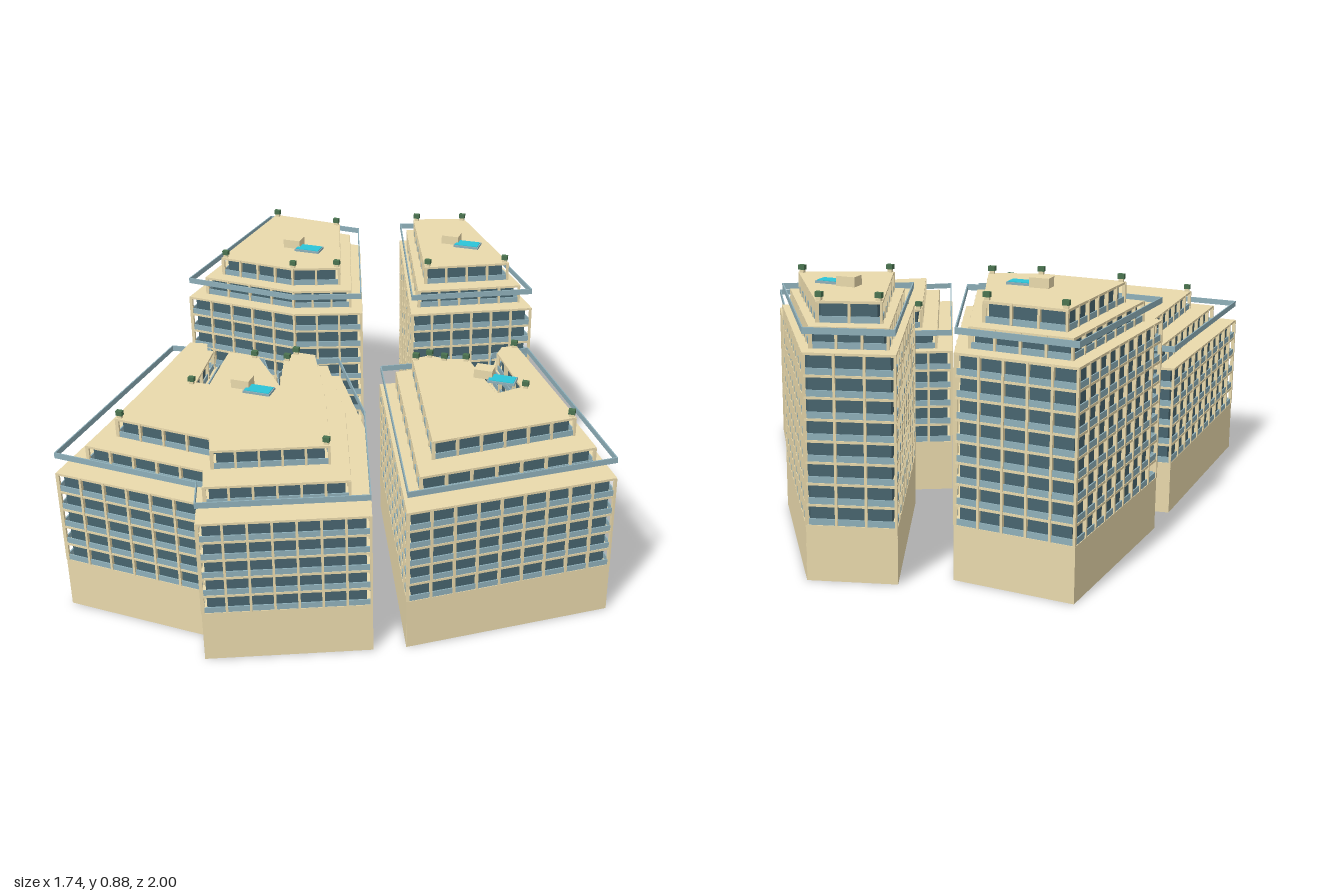
import * as THREE from 'three';
import { mergeGeometries } from 'three/addons/utils/BufferGeometryUtils.js';

const mat = (color) => new THREE.MeshStandardMaterial({ color });
const STONE = mat(0xe9d9ac), GLASS = mat(0x48656f), RAIL = mat(0x8fb0ba);
const GREEN = mat(0x4a7350), WATER = mat(0x2cc4d8);
const BASE = 0.18, H = 0.0672;

// Upright prism over a plan outline of [x, z] corners
function prism(points, y, height) {
  const shape = new THREE.Shape(points.map(([x, z]) => new THREE.Vector2(x, -z)));
  return new THREE.ExtrudeGeometry(shape, { depth: height, bevelEnabled: false })
    .rotateX(-Math.PI / 2).translate(0, y, 0);
}

// Move every side of an outline inwards, limiting long mitres
function inset(points, d) {
  const v = points.map(([x, z]) => new THREE.Vector2(x, z));
  const sign = THREE.ShapeUtils.area(v) > 0 ? 1 : -1;
  const normal = (a, b) => new THREE.Vector2(a.y - b.y, b.x - a.x).normalize().multiplyScalar(sign);
  return v.map((p, i) => {
    const n1 = normal(v[(i + v.length - 1) % v.length], p), n2 = normal(p, v[(i + 1) % v.length]);
    const m = n1.clone().add(n2).normalize();
    const q = p.clone().addScaledVector(m, d / Math.max(0.5, m.dot(n1)));
    return [q.x, q.y];
  });
}

// Outline halfway between two outlines with matching corners
const halfway = (a, b) => a.map(([x, z], i) => [(x + b[i][0]) / 2, (z + b[i][1]) / 2]);

// Bars following every side of an outline
function edgeBars(points, y, height, width) {
  return points.map(([x, z], i) => {
    const [u, w] = points[(i + 1) % points.length];
    return new THREE.BoxGeometry(Math.hypot(u - x, w - z) + width, height, width)
      .rotateY(-Math.atan2(w - z, u - x)).translate((x + u) / 2, y + height / 2, (z + w) / 2);
  });
}

// Upright fins spaced evenly along every side
function fins(points, y, height) {
  return points.flatMap(([x, z], i) => {
    const [u, w] = points[(i + 1) % points.length];
    const n = Math.max(1, Math.round(Math.hypot(u - x, w - z) / 0.08));
    return Array.from({ length: n }, (_, k) => new THREE.BoxGeometry(0.008, height, 0.012)
      .rotateY(-Math.atan2(w - z, u - x))
      .translate(x + (u - x) * k / n, y + height / 2, z + (w - z) * k / n));
  });
}

function add(group, name, geometries, material) {
  const mesh = new THREE.Mesh(mergeGeometries(geometries), material);
  mesh.name = name;
  group.add(mesh);
}

// A run of storeys: recessed glass, floor slabs, balcony rails and fins
function storeys(group, name, outline, y, count) {
  const slabs = [], rails = [];
  const edge = inset(outline, 0.004);
  for (let i = 0; i < count; i++) {
    slabs.push(prism(outline, y + (i + 1) * H - 0.008, 0.008));
    rails.push(...edgeBars(edge, y + i * H, 0.02, 0.004));
  }
  add(group, name + 'Glass', [prism(inset(outline, 0.018), y, count * H - 0.004)], GLASS);
  add(group, name + 'Slabs', slabs, STONE);
  add(group, name + 'Rails', rails, RAIL);
  add(group, name + 'Fins', fins(edge, y, count * H - 0.002), STONE);
}

// One block: full floors over a podium, then two setbacks ending at the top outline
function building(name, floors, full, top, [px, pz], plants = top.map((_, i) => i)) {
  const group = new THREE.Group();
  group.name = name;
  const y1 = BASE + floors * H, y2 = y1 + H, roof = y2 + H;

  // Hollow podium, open underneath
  add(group, 'podiumWalls', edgeBars(inset(full, 0.001), 0, BASE, 0.002), STONE);
  add(group, 'podiumDeck', [prism(full, BASE - 0.004, 0.004)], STONE);
  storeys(group, 'mainFloors', full, BASE, floors);
  storeys(group, 'firstSetback', halfway(full, top), y1, 1);
  storeys(group, 'secondSetback', top, y2, 1);

  // Thin frame level with the first setback roof
  add(group, 'roofFrame', edgeBars(inset(full, 0.004), y2 - 0.012, 0.02, 0.004), RAIL);

  // Planters with clipped shrubs at the roof corners
  const inner = inset(top, 0.012);
  const blocksAt = (w, h, d, y) => plants.map((i) =>
    new THREE.BoxGeometry(w, h, d).translate(inner[i][0], y + h / 2, inner[i][1]));
  add(group, 'planters', blocksAt(0.016, 0.01, 0.012, roof), STONE);
  add(group, 'shrubs', blocksAt(0.022, 0.016, 0.016, roof + 0.01), GREEN);

  // Roof house and pool
  const box = (w, h, d, x, z) => [new THREE.BoxGeometry(w, h, d).translate(x, roof + h / 2, z)];
  add(group, 'roofHouse', box(0.065, 0.032, 0.05, px - 0.068, pz - 0.02), STONE);
  add(group, 'poolRim', box(0.096, 0.008, 0.056, px, pz), RAIL);
  add(group, 'poolWater', box(0.088, 0.01, 0.048, px, pz), WATER);
  return group;
}

export function createModel() {
  const model = new THREE.Group();
  model.name = 'terracedBuildings';

  // Tall rear blocks
  const rearRight = [[-0.79, -0.845], [-0.395, -0.82], [-0.175, -0.2], [-0.41, -0.115], [-0.84, -0.145]];
  const rearRightTop = [[-0.71, -0.715], [-0.435, -0.695], [-0.285, -0.275], [-0.45, -0.215], [-0.74, -0.235]];
  const rearLeft = [[-0.255, -0.92], [0.015, -1], [0.408, -0.43], [0, -0.24]];
  const rearLeftTop = [[-0.17, -0.832], [0.022, -0.895], [0.298, -0.507], [0.012, -0.373]];
  model.add(building('rearRightBuilding', 8, rearRight, rearRightTop, [-0.455, -0.405]));
  model.add(building('rearLeftBuilding', 8, rearLeft, rearLeftTop, [0.107, -0.625]));

  // Lower front blocks, notched on the courtyard side
  const frontRight = [[-0.845, 0.02], [-0.695, 0], [-0.64, 0.11], [-0.61, 0.11], [-0.572, 0.36],
    [-0.545, 0.36], [-0.6, 0.02], [-0.475, 0.02], [-0.31, 0.3], [-0.39, 0.12], [-0.37, 0],
    [-0.22, -0.07], [0, 0.29], [0.187, 0.79], [-0.315, 0.998], [-0.36, 0.885], [-0.87, 0.855]];
  const frontRightTop = [[-0.735, 0.09], [-0.675, 0.08], [-0.65, 0.13], [-0.625, 0.13], [-0.585, 0.37],
    [-0.535, 0.37], [-0.57, 0.12], [-0.46, 0.12], [-0.3, 0.31], [-0.36, 0.12], [-0.345, 0.05],
    [-0.27, 0.05], [-0.14, 0.31], [0, 0.64], [-0.35, 0.785], [-0.385, 0.71], [-0.73, 0.685]];
  const frontLeft = [[-0.06, -0.05], [0.09, -0.13], [0.17, -0.085], [0.26, -0.13], [0.42, 0.13],
    [0.48, 0.065], [0.31, -0.18], [0.295, -0.27], [0.415, -0.36], [0.868, 0.34], [0.285, 0.745]];
  const frontLeftTop = [[0.07, -0.025], [0.12, -0.07], [0.18, -0.06], [0.26, -0.08], [0.415, 0.14],
    [0.485, 0.07], [0.345, -0.16], [0.35, -0.21], [0.395, -0.24], [0.705, 0.225], [0.3, 0.52]];
  model.add(building('frontRightBuilding', 5, frontRight, frontRightTop, [-0.355, 0.365], [4, 7, 9, 10, 13, 16]));
  model.add(building('frontLeftBuilding', 5, frontLeft, frontLeftTop, [0.413, 0.045], [0, 1, 2, 3, 5, 8, 9]));
  return model;
}
